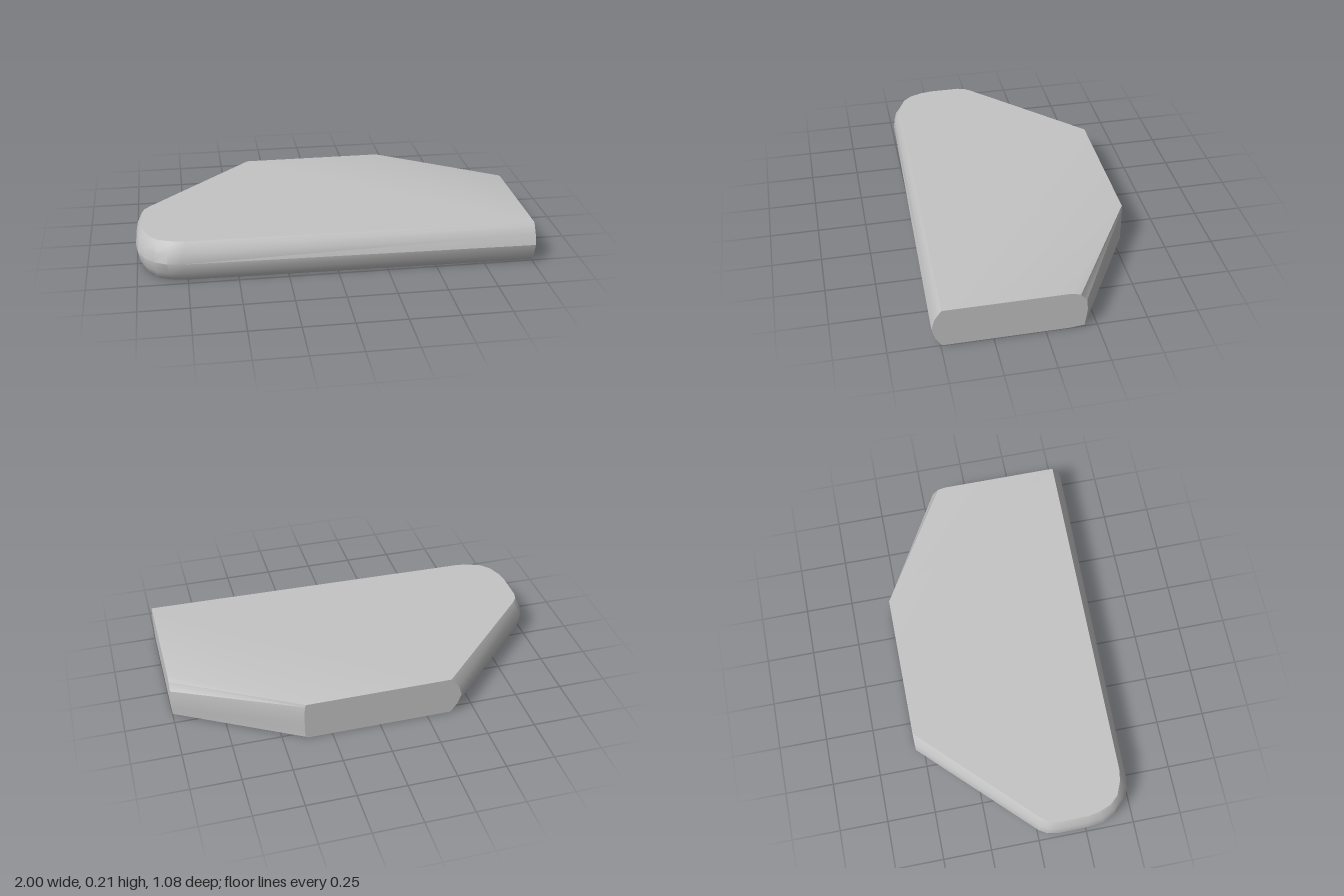
import * as THREE from 'three';
import { toCreasedNormals } from 'three/addons/utils/BufferGeometryUtils.js';

// Plan outline as [widest x, widest z, face x, face z], clockwise from above.
const OUTLINE = [
  [1, 0.54, 1, 0.49],
  [-0.78, 0.5, -0.76, 0.46],
  [-0.85, 0.49, -0.82, 0.45],
  [-0.91, 0.455, -0.89, 0.42],
  [-0.96, 0.4, -0.93, 0.375],
  [-0.99, 0.33, -0.955, 0.31],
  [-1, 0.25, -0.965, 0.25],
  [-1, 0.1, -0.965, 0.09],
  [-0.99, 0.04, -0.953, 0.05],
  [-0.965, 0, -0.925, 0.015],
  [-0.43, -0.54, -0.37, -0.54],
  [0.39, -0.54, 0.38, -0.54],
  [1, -0.2, 1, -0.12],
];

// Edge section: height, inset of the round edge, inset of the squarer back edge.
const LEVELS = [
  [0, 1, 1],
  [0.008, 0.8, 0.15],
  [0.05, 0.3, 0.07],
  [0.105, 0, 0],
  [0.16, 0.3, 0.07],
  [0.197, 0.8, 0.45],
  [0.21, 1, 1],
];

function slabGeometry() {
  const n = OUTLINE.length;
  const positions = [];
  const index = [];
  for (const [y, round, square] of LEVELS) {
    OUTLINE.forEach(([x, z, fx, fz], i) => {
      const w = i >= n - 2 ? square : round;
      positions.push(x + (fx - x) * w, y, z + (fz - z) * w);
    });
  }

  // Side walls
  for (let l = 0; l < LEVELS.length - 1; l++) {
    for (let i = 0; i < n; i++) {
      const a = l * n + i;
      const b = l * n + ((i + 1) % n);
      index.push(b, a, a + n, b, a + n, b + n);
    }
  }

  // Flat top and bottom
  const top = (LEVELS.length - 1) * n;
  for (let i = 1; i < n - 1; i++) {
    index.push(top, top + i + 1, top + i);
    index.push(0, i, i + 1);
  }

  const geometry = new THREE.BufferGeometry();
  geometry.setAttribute('position', new THREE.Float32BufferAttribute(positions, 3));
  geometry.setIndex(index);
  return toCreasedNormals(geometry, THREE.MathUtils.degToRad(27));
}

export function createModel() {
  const grey = new THREE.MeshStandardMaterial({ color: 0xc4c4c4 });
  grey.name = 'light grey';

  const slab = new THREE.Mesh(slabGeometry(), grey);
  slab.name = 'roundedSlab';

  const model = new THREE.Group();
  model.name = 'slabModel';
  model.add(slab);
  return model;
}
